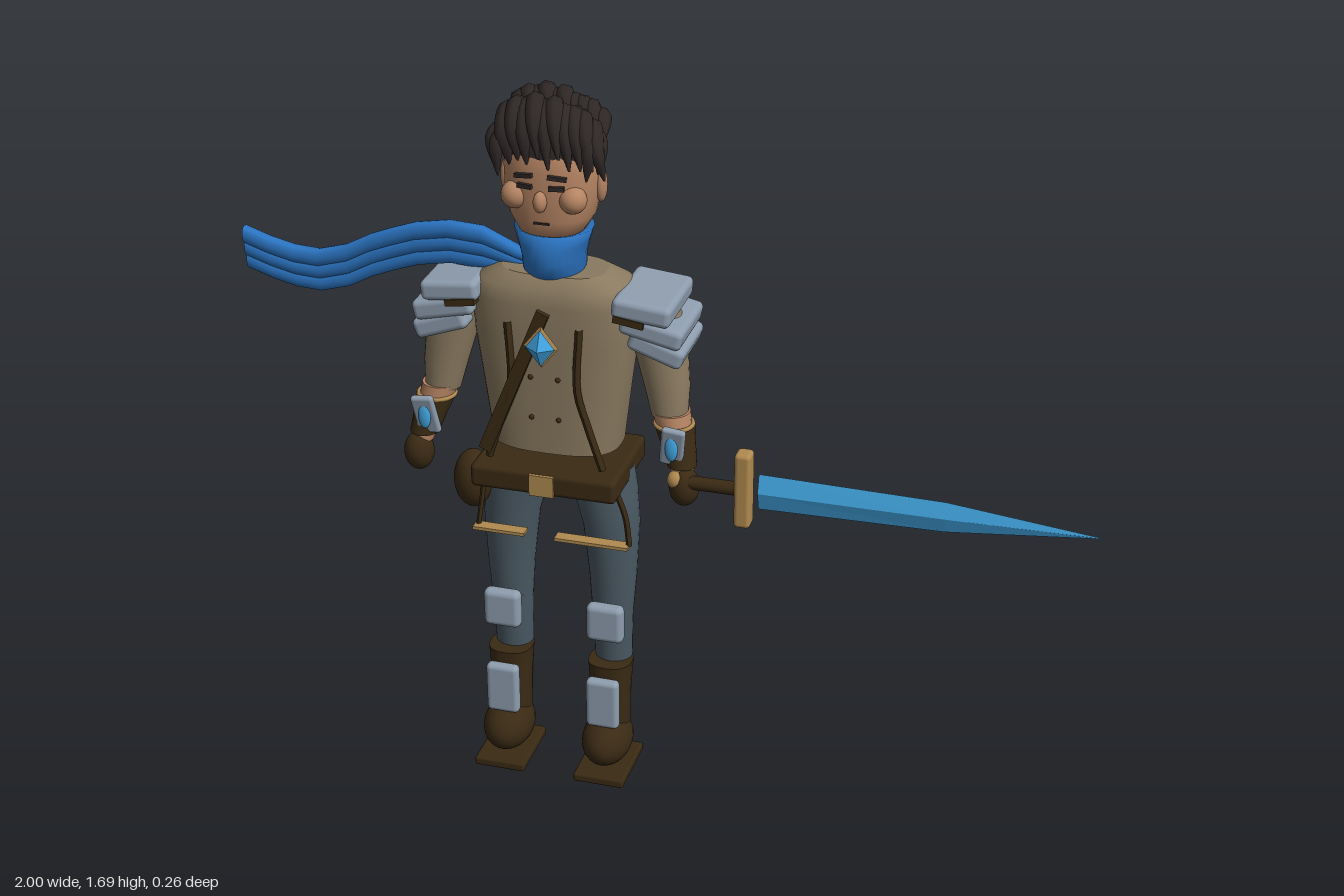
import * as THREE from 'three';
import { RoundedBoxGeometry } from 'three/addons/geometries/RoundedBoxGeometry.js';

const mat = (name, color) => {
  const m = new THREE.MeshStandardMaterial({ color });
  m.name = name;
  return m;
};

// Closed skin through horizontal rings [y, cx, cz, rx, rz], listed upward
function loft(rings, seg = 24, power = 1) {
  const a = rings[0], b = rings[rings.length - 1];
  const rows = [[a[0], a[1], a[2], 0, 0], a, ...rings, b, [b[0], b[1], b[2], 0, 0]];
  const pos = [], idx = [];
  const sp = v => Math.sign(v) * Math.pow(Math.abs(v), power);
  rows.forEach(([y, cx, cz, rx, rz], i) => {
    for (let j = 0; j < seg; j++) {
      const t = j / seg * Math.PI * 2;
      pos.push(cx + rx * sp(Math.cos(t)), y, cz + rz * sp(Math.sin(t)));
      if (i === rows.length - 1) continue;
      const p = i * seg + j, q = i * seg + (j + 1) % seg;
      idx.push(p, p + seg, q, p + seg, q + seg, q);
    }
  });
  const g = new THREE.BufferGeometry();
  g.setAttribute('position', new THREE.Float32BufferAttribute(pos, 3));
  g.setIndex(idx);
  g.computeVertexNormals();
  return g;
}

// Tube along a curve whose radius follows a function of 0..1
function taperTube(points, radius, profile, seg = 14, sides = 7) {
  const curve = new THREE.CatmullRomCurve3(points.map(p => new THREE.Vector3(...p)));
  const g = new THREE.TubeGeometry(curve, seg, radius, sides);
  const pos = g.attributes.position, v = new THREE.Vector3();
  for (let i = 0; i < pos.count; i++) {
    const t = Math.floor(i / (sides + 1)) / seg, c = curve.getPointAt(t);
    v.fromBufferAttribute(pos, i).sub(c).multiplyScalar(profile(t)).add(c);
    pos.setXYZ(i, v.x, v.y, v.z);
  }
  g.computeVertexNormals();
  return g;
}

export function createModel() {
  const skin = mat('skin', 0xb58463), hair = mat('hair', 0x2e2726), jacket = mat('jacket', 0x8a7a60);
  const cloth = mat('trousers', 0x4a5963), leather = mat('leather', 0x3a2a14), steel = mat('steel', 0x8e9dae);
  const gold = mat('gold', 0xb08a50), scarf = mat('scarf', 0x2b74c2), blade = mat('blade', 0x42a6e2);

  const root = new THREE.Group(), body = new THREE.Group();
  root.name = 'swordsman';
  body.name = 'body';
  body.position.x = -0.253;
  root.add(body);

  const add = (name, geo, m, p = [0, 0, 0], r = [0, 0, 0], parent = body) => {
    const mesh = new THREE.Mesh(geo, m);
    mesh.name = name;
    mesh.position.set(...p);
    mesh.rotation.set(...r);
    parent.add(mesh);
    return mesh;
  };
  const ball = (name, m, p, rx, ry, rz) =>
    add(name, new THREE.SphereGeometry(1, 24, 16).scale(rx, ry, rz), m, p);
  const rbox = (name, m, p, w, h, d, r, rad = 0.012) =>
    add(name, new RoundedBoxGeometry(w, h, d, 3, rad), m, p, r);
  const box = (name, m, p, w, h, d, r) => add(name, new THREE.BoxGeometry(w, h, d), m, p, r);
  const even = () => 1;

  // Torso, neck and collar
  add('jacket', loft([[0.86, 0, -0.015, 0.15, 0.098], [1.0, 0, -0.015, 0.168, 0.1], [1.13, 0, -0.015, 0.186, 0.102],
    [1.22, 0, -0.015, 0.19, 0.102], [1.26, 0, -0.015, 0.172, 0.095], [1.285, 0, -0.015, 0.12, 0.07]], 40, 0.72), jacket);
  add('neck', loft([[1.26, 0, -0.01, 0.06, 0.055], [1.31, 0, -0.01, 0.045, 0.035], [1.42, 0, -0.01, 0.045, 0.045]]), skin);
  add('scarfCollar', loft([[1.27, 0, -0.01, 0.06, 0.062], [1.29, 0, -0.01, 0.07, 0.082], [1.32, 0, -0.01, 0.07, 0.092],
    [1.355, 0, -0.01, 0.08, 0.092], [1.385, 0, -0.01, 0.09, 0.082], [1.38, 0, -0.01, 0.07, 0.065]], 28), scarf);

  // Scarf tail: three folds running sideways
  const tail = [[0.28, 1.275], [0.34, 1.285], [0.42, 1.307], [0.5, 1.312], [0.58, 1.298], [0.64, 1.277],
    [0.69, 1.257], [0.75, 1.225], [0.82, 1.205], [0.88, 1.208], [0.94, 1.222], [1.0, 1.242]];
  [-1, 0, 1].forEach(k => {
    const g = loft(tail.map(([t, y], i) => {
      const spread = i < 2 ? 0.016 + 0.008 * i : 0.033;
      return [t, y + k * spread, -0.013 + 0.006 * k, spread * 0.62, 0.017];
    }), 12, 0.8);
    add('scarfTailFold', g.rotateZ(Math.PI / 2), scarf, [0, 0, 0], [0, 0, 0], root);
  });

  // Head and face
  add('head', loft([[1.365, 0, 0, 0.04, 0.04], [1.385, 0, -0.002, 0.075, 0.07], [1.42, 0, -0.008, 0.096, 0.084],
    [1.47, 0, -0.01, 0.106, 0.088], [1.53, 0, -0.012, 0.108, 0.09], [1.58, 0, -0.015, 0.095, 0.085],
    [1.62, 0, -0.015, 0.055, 0.05]], 32, 0.9), skin);
  ball('nose', skin, [0, 1.47, 0.084], 0.015, 0.024, 0.018);
  box('mouth', hair, [0, 1.418, 0.077], 0.035, 0.004, 0.006);
  for (const s of [-1, 1]) {
    ball('cheek', skin, [s * 0.066, 1.472, 0.056], 0.031, 0.031, 0.031);
    ball('ear', skin, [s * 0.108, 1.487, -0.013], 0.014, 0.04, 0.018);
    box('eyebrow', hair, [s * 0.038, 1.526, 0.079], 0.042, 0.009, 0.01, [0, s * 0.2, -s * 0.12]);
    box('eye', hair, [s * 0.036, 1.502, 0.078], 0.034, 0.01, 0.009, [0, s * 0.2, 0]);
  }

  // Hair: cap, back, and swept locks in two rows
  add('hairCap', loft([[1.545, 0, -0.025, 0.114, 0.098], [1.58, 0, -0.025, 0.115, 0.098], [1.62, 0, -0.025, 0.1, 0.085],
    [1.65, 0, -0.025, 0.06, 0.055]], 28), hair);
  add('hairBack', loft([[1.495, 0, -0.055, 0.075, 0.05], [1.52, 0, -0.055, 0.104, 0.062],
    [1.56, 0, -0.055, 0.11, 0.066], [1.61, 0, -0.045, 0.1, 0.07]], 24), hair);
  const lockShape = t => 0.1 + 0.9 * Math.sin(Math.PI * Math.min(1, 0.12 + t * 0.88));
  for (let i = 0; i < 10; i++) {
    const u = i / 9, x = -0.105 + 0.21 * u, j = Math.sin(i * 2.7);
    const top = 1.672 - 0.05 * u * u - 0.03 * (1 - u) ** 4 + 0.006 * j;
    const side = Math.abs(u - 0.5) * 2;
    const tip = [x + 0.03, 1.56 - 0.03 * side + 0.014 * j, 0.078 - 0.03 * side * side];
    add('frontLock', taperTube([[x * 0.8 - 0.02, top - 0.045, -0.06], [x * 0.9, top, 0.0],
      [x + 0.015, top - 0.035, 0.052], tip], 0.023, lockShape), hair);
    add('backLock', taperTube([[x * 0.9, 1.58, -0.11 + 0.02 * side], [x * 0.85 - 0.01, top - 0.035, -0.105 + 0.015 * side],
      [x * 0.85, top, -0.07], [x * 0.9 + 0.02, top - 0.03, -0.02]], 0.026, lockShape), hair);
  }
  for (const [x, y, z] of [[-0.118, 1.53, 0.03], [-0.1, 1.515, 0.055], [0.118, 1.53, 0.03], [0.1, 1.52, 0.055]])
    add('sideLock', taperTube([[x * 0.85, 1.62, z - 0.04], [x * 1.03, 1.59, z], [x, y, z + 0.012]], 0.016, lockShape), hair);

  // Harness, brooch and buttons
  box('bandolier', leather, [-0.07, 1.035, 0.09], 0.03, 0.385, 0.018, [0, 0, -0.39]);
  for (const s of [-1, 1]) {
    add('harnessStrap', taperTube([[s * 0.083, 1.18, 0.085], [s * 0.078, 1.03, 0.09], [s * 0.1, 0.95, 0.09],
      [s * 0.135, 0.84, 0.09]], 0.009, even), leather);
    for (const y of [0.95, 1.05])
      ball('button', leather, [s * 0.032, y, 0.086], 0.006, 0.006, 0.005);
  }
  add('broochMount', new THREE.OctahedronGeometry(1).scale(0.04, 0.05, 0.014), gold, [0, 1.134, 0.1]);
  add('broochGem', new THREE.OctahedronGeometry(1).scale(0.034, 0.044, 0.024), blade, [0, 1.134, 0.108]);

  // Belt, pouch and hanging straps
  rbox('belt', leather, [0, 0.798, -0.005], 0.345, 0.057, 0.255);
  box('buckle', gold, [0, 0.797, 0.124], 0.058, 0.052, 0.008);
  ball('pouch', leather, [-0.198, 0.742, 0.03], 0.046, 0.072, 0.05);
  add('hangingStrap', taperTube([[0.165, 0.78, 0.08], [0.185, 0.72, 0.08], [0.195, 0.65, 0.085]], 0.007, even), leather);
  add('hangingStrap', taperTube([[-0.155, 0.78, 0.07], [-0.17, 0.65, 0.085]], 0.006, even), leather);
  for (const [x, w] of [[-0.115, 0.125], [0.108, 0.175]]) box('strapBar', gold, [x, 0.65, 0.09], w, 0.008, 0.03);

  for (const s of [-1, 1]) {
    // Legs
    add('thigh', loft([[0.42, s * 0.125, -0.01, 0.05, 0.043], [0.52, s * 0.126, -0.013, 0.057, 0.054],
      [0.65, s * 0.122, -0.017, 0.067, 0.066], [0.74, s * 0.106, -0.02, 0.077, 0.071],
      [0.8, s * 0.095, -0.02, 0.08, 0.07]]), cloth);
    add('shin', loft([[0.08, s * 0.125, -0.012, 0.036, 0.028], [0.25, s * 0.125, -0.015, 0.044, 0.038],
      [0.36, s * 0.125, -0.012, 0.047, 0.044], [0.435, s * 0.125, -0.01, 0.05, 0.046]]), cloth);
    rbox('kneePad', steel, [s * 0.127, 0.417, 0.058], 0.09, 0.097, 0.036, [0, 0, 0], 0.015);

    // Boots
    add('bootCuff', loft([[0.1, s * 0.125, 0.02, 0.046, 0.045], [0.2, s * 0.125, 0.016, 0.047, 0.045],
      [0.29, s * 0.125, 0.012, 0.053, 0.05]], 24, 0.8), leather);
    rbox('shinGuard', steel, [s * 0.125, 0.205, 0.08], 0.08, 0.13, 0.03, [0, 0, 0], 0.012);
    ball('boot', leather, [s * 0.125, 0.085, 0.045], 0.06, 0.063, 0.085);
    rbox('sole', leather, [s * 0.125, 0.011, 0.043], 0.125, 0.022, 0.175, [0, 0, 0], 0.006);

    // Arms
    add('sleeve', loft([[0.965, s * 0.27, 0.01, 0.042, 0.042], [1.03, s * 0.262, 0.003, 0.052, 0.048],
      [1.12, s * 0.245, -0.005, 0.062, 0.054], [1.2, s * 0.225, -0.012, 0.065, 0.056],
      [1.245, s * 0.205, -0.015, 0.045, 0.045]]), jacket);
    add('forearm', loft([[0.84, s * 0.312, 0.05, 0.026, 0.026], [0.975, s * 0.274, 0.012, 0.044, 0.044]]), skin);
    add('bracer', loft([[0.858, s * 0.308, 0.044, 0.034, 0.034], [0.9, s * 0.297, 0.032, 0.039, 0.038],
      [0.945, s * 0.284, 0.02, 0.046, 0.045]]), leather);
    add('bracerTrim', new THREE.TorusGeometry(0.043, 0.005, 8, 24), gold, [s * 0.283, 0.947, 0.02], [Math.PI / 2, 0, 0]);
    rbox('bracerPlate', steel, [s * 0.293, 0.913, 0.07], 0.055, 0.1, 0.018, [0.2, 0, -s * 0.12], 0.008);
    ball('bracerGem', blade, [s * 0.293, 0.913, 0.08], 0.015, 0.032, 0.008);
    ball('glove', leather, [s * 0.318, 0.812, 0.06], 0.035, 0.047, 0.036);

    // Layered shoulder armour
    [[0.222, 1.232, 0.135, 0.205], [0.242, 1.185, 0.145, 0.19], [0.252, 1.142, 0.13, 0.18]].forEach(([x, y, w, d], i) =>
      rbox('shoulderPlate', steel, [s * x, y, -0.018], w, 0.048, d, [0, 0, -s * (0.1 + 0.12 * i)], 0.014));
    box('shoulderStrap', leather, [s * 0.195, 1.21, -0.018], 0.07, 0.016, 0.208, [0, 0, -s * 0.15]);
  }

  // Sword held out sideways
  const sword = new THREE.Group();
  sword.name = 'sword';
  sword.position.set(0, 0.83, 0.072);
  root.add(sword);
  add('grip', new THREE.CylinderGeometry(0.016, 0.016, 0.15, 16), leather, [0.12, 0, 0], [0, 0, Math.PI / 2], sword);
  add('pommel', new THREE.SphereGeometry(0.022, 16, 12), gold, [0.05, 0.002, 0], [0, 0, 0], sword);
  add('crossguard', new RoundedBoxGeometry(0.038, 0.185, 0.045, 3, 0.01), gold, [0.206, 0.003, 0], [0, 0, 0], sword);
  const edge = loft([[0.24, 0, 0, 0.044, 0.012], [0.66, 0, 0, 0.037, 0.011], [1.0, 0, 0, 0.001, 0.001]], 4)
    .rotateZ(-Math.PI / 2).toNonIndexed();
  edge.computeVertexNormals();
  add('blade', edge, blade, [0, 0, 0], [0, 0, 0], sword);

  return root;
}
